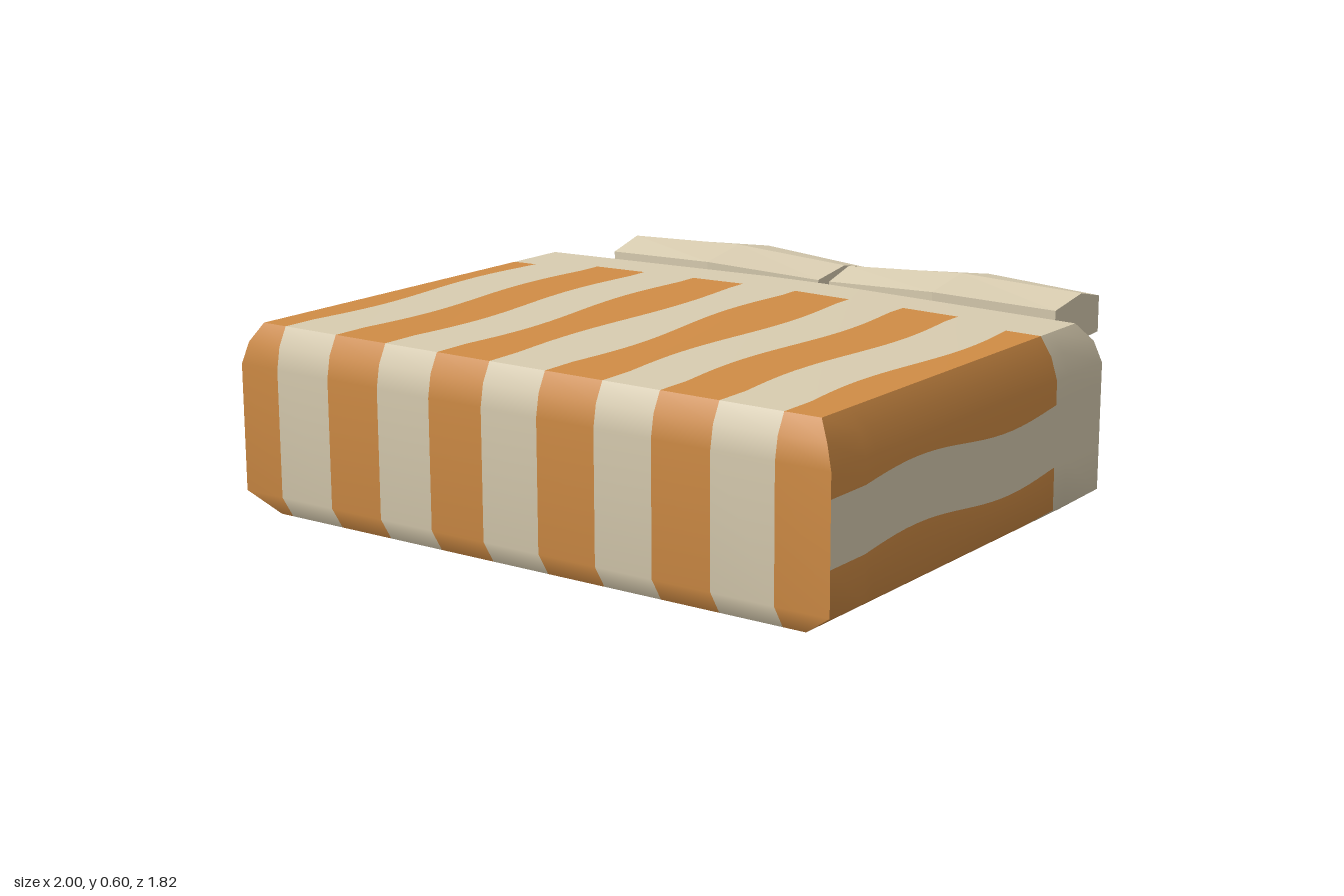
import * as THREE from 'three';

const beige = new THREE.MeshStandardMaterial({ color: 0xd8ccb0, side: THREE.DoubleSide });
beige.name = 'beigeCloth';
const orange = new THREE.MeshStandardMaterial({ color: 0xd08c45, side: THREE.DoubleSide });
orange.name = 'orangeStripe';

// Grid sheet: rows run down and columns run right as seen from outside
function sheet(name, rows, cols, point, isOrange = () => false, flat = false) {
  const pos = [], plain = [], striped = [];
  for (let i = 0; i < rows; i++)
    for (let j = 0; j < cols; j++) pos.push(...point(i, j));
  for (let i = 0; i < rows - 1; i++)
    for (let j = 0; j < cols - 1; j++) {
      const a = i * cols + j, b = a + 1, d = a + cols, c = d + 1;
      (isOrange(i, j) ? striped : plain).push(a, d, c, a, c, b);
    }
  let geo = new THREE.BufferGeometry();
  geo.setAttribute('position', new THREE.Float32BufferAttribute(pos, 3));
  geo.setIndex([...plain, ...striped]);
  if (flat) geo = geo.toNonIndexed();
  geo.computeVertexNormals();
  geo.addGroup(0, plain.length, 0);
  if (striped.length) geo.addGroup(plain.length, striped.length, 1);
  const mesh = new THREE.Mesh(geo, striped.length ? [beige, orange] : beige);
  mesh.name = name;
  return mesh;
}

// Body rings from top to bottom: height, half width, front z, back z
const rings = [
  [0.56, 0.945, 0.865, -0.46],
  [0.505, 0.98, 0.893, -0.51],
  [0.44, 1, 0.905, -0.528],
  [0.065, 1, 0.905, -0.525],
  [0, 0.905, 0.865, -0.478],
];
// Stripe borders across the width
const edges = [-0.945, -0.86, -0.667, -0.482, -0.295, -0.11, 0.08, 0.27, 0.455, 0.64, 0.835, 0.945];
const wave = (z) => (z > 0.75 || z < -0.25 ? 0 : 0.02 * Math.sin(2 * Math.PI * (0.75 - z)));
const sway = (x) => -Math.sign(x) * THREE.MathUtils.clamp((Math.abs(x) - 0.18) / 0.1, -1, 1);
const crown = (x, z) => 0.018 * (1 - Math.abs(x) / 0.945) * Math.max(0, (0.865 - z) / 1.325);

// Depth samples from back to front
const depths = [-0.46, -0.325, -0.255];
for (let k = 1; k <= 20; k++) depths.push(-0.255 + k * 0.05);
depths.push(0.865);

function makeTop() {
  return sheet('blanketTop', depths.length, edges.length, (i, j) => {
    const z = depths[i], outer = j === 0 || j === edges.length - 1;
    const x = edges[j] + (outer ? 0 : wave(z) * sway(edges[j]));
    return [x, 0.56 + crown(x, z), z];
  }, (i, j) => j % 2 === 0 && i >= (j === 0 || j === 10 ? 2 : 1));
}

function makeEnd(name, s) {
  const n = edges.length;
  return sheet(name, rings.length, n, (i, j) => {
    const [y, w, zf, zb] = rings[i];
    const k = s > 0 ? j : n - 1 - j;
    const x = k === 0 ? -w : k === n - 1 ? w : edges[k];
    const z = s > 0 ? zf : zb;
    return [x, y + (i === 0 ? crown(x, z) : 0), z];
  }, (i, j) => s > 0 && j % 2 === 0);
}

function makeSide(name, s) {
  // Two extra rows carry the wavy stripe borders
  const rows = [...rings.slice(0, 3), [0.37, 1, 0.905, -0.527], [0.19, 1, 0.905, -0.526], ...rings.slice(3)];
  const n = depths.length;
  const index = (j) => (s > 0 ? n - 1 - j : j);
  return sheet(name, rows.length, n, (i, j) => {
    const [y, w, zf, zb] = rows[i], k = index(j);
    const z = k === 0 ? zb : k === n - 1 ? zf : depths[k];
    return [s * w, y + (i === 3 || i === 4 ? wave(z) : 0), z];
  }, (i, j) => i !== 3 && Math.min(index(j), index(j + 1)) >= 2);
}

// Pillow: three cross-sections, open underneath, with pointed end caps
function makePillow(name, s) {
  const cz = -0.738;
  // x at edge, x at ridge, half depth, bottom y, edge y, ridge y
  const sections = [
    [0.02, 0.008, 0.132, 0.445, 0.55, 0.577],
    [0.412, 0.412, 0.173, 0.428, 0.57, 0.6],
    [0.808, 0.82, 0.138, 0.445, 0.555, 0.586],
  ];
  if (s < 0) sections.reverse();
  const ring = ([xe, xr, d, yb, ye, yr]) => [
    [s * xe, yb, cz - d], [s * xe, ye, cz - d], [s * xr, yr, cz],
    [s * xe, ye, cz + d], [s * xe, yb, cz + d],
  ];
  const group = new THREE.Group();
  group.name = name;
  const loops = sections.map(ring);
  group.add(sheet('pillowCover', 5, 3, (i, j) => loops[j][i], undefined, true));
  [0, 2].forEach((e) => {
    const [xe, xr, , yb] = sections[e], r = loops[e];
    const top = [r[1], r[2], r[3]], low = [r[0], [s * xr, yb, cz], r[4]];
    if (e === 2) { top.reverse(); low.reverse(); }
    group.add(sheet('pillowEnd', 2, 3, (i, j) => (i ? low : top)[j], undefined, true));
  });
  return group;
}

export function createModel() {
  const model = new THREE.Group();
  model.name = 'beddingSet';
  const blanket = new THREE.Group();
  blanket.name = 'stripedBlanket';
  blanket.add(
    makeTop(),
    makeEnd('blanketFront', 1), makeEnd('blanketBack', -1),
    makeSide('blanketLeft', 1), makeSide('blanketRight', -1),
  );
  model.add(blanket, makePillow('leftPillow', 1), makePillow('rightPillow', -1));
  return model;
}
